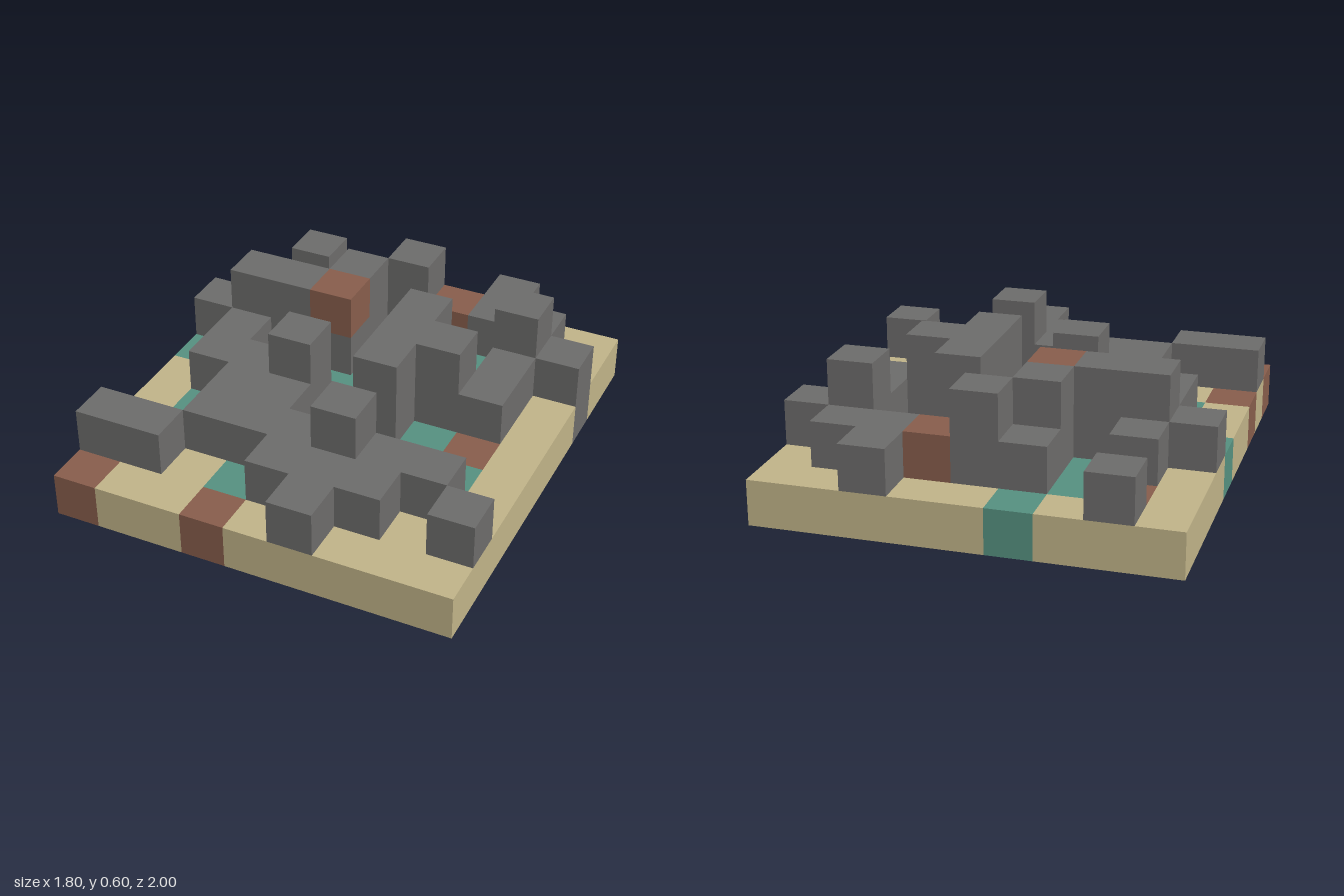
import * as THREE from 'three';
import { mergeGeometries } from 'three/addons/utils/BufferGeometryUtils.js';

const S = 0.2; // block size

// Layers from the ground up; rows run back to front, letters run from -x to +x
const LAYERS = [
  ['ssswsssss', 'sbwssssss', 'sswswbwsg', 'sssswswss', 'wswwwssss',
   'sssssswbs', 'swwswswws', 'bssssssss', 'sgswwssss', 'bssbsssss'],
  ['.g....g..', '...ggbgg.', '.g.g...gg', 'gggg.g.g.', '.g...ggg.',
   '.ggg.g...', '..gg.....', '..gggggg.', 'gg..ggg.g', '.....g...'],
  ['.........', '....g....', '...g...g.', '.ggb.g...', '.....gg..',
   '...g.g...', '.........', '.....g...', '.........', '.........'],
];

const KINDS = {
  s: ['sand', 0xc0b388],
  g: ['stone', 0x6c6b6a],
  b: ['clay', 0x875d4b],
  w: ['water', 0x559080],
};

// Outward directions and the rotation that turns a +z plane to each of them
const SIDES = [
  [0, 0, 1, 0, 0], [0, 0, -1, 0, Math.PI],
  [1, 0, 0, 0, Math.PI / 2], [-1, 0, 0, 0, -Math.PI / 2],
  [0, 1, 0, -Math.PI / 2, 0], [0, -1, 0, Math.PI / 2, 0],
];

const blockAt = (c, y, r) => LAYERS[y]?.[r]?.[c] ?? '.';

// All exposed faces of one kind of block in one layer
function layerGeometry(kind, y) {
  const faces = [];
  LAYERS[y].forEach((row, r) => [...row].forEach((k, c) => {
    if (k !== kind) return;
    for (const [dx, dy, dz, rx, ry] of SIDES) {
      if (blockAt(c + dx, y + dy, r + dz) !== '.') continue;
      faces.push(new THREE.PlaneGeometry(S, S).rotateX(rx).rotateY(ry).translate(
        (c - 4 + dx / 2) * S, (y + 0.5 + dy / 2) * S, (r - 4.5 + dz / 2) * S));
    }
  }));
  return faces.length ? mergeGeometries(faces) : null;
}

export function createModel() {
  const model = new THREE.Group();
  model.name = 'blockTerrain';
  const layerNames = ['ground', 'lowerRocks', 'upperRocks'];
  const materials = {};
  for (const [kind, [name, color]] of Object.entries(KINDS)) {
    materials[kind] = new THREE.MeshStandardMaterial({ color });
    materials[kind].name = name;
  }
  layerNames.forEach((layerName, y) => {
    const layer = new THREE.Group();
    layer.name = layerName;
    for (const kind of Object.keys(KINDS)) {
      const geometry = layerGeometry(kind, y);
      if (!geometry) continue;
      const mesh = new THREE.Mesh(geometry, materials[kind]);
      mesh.name = KINDS[kind][0] + 'Blocks';
      layer.add(mesh);
    }
    model.add(layer);
  });
  return model;
}
